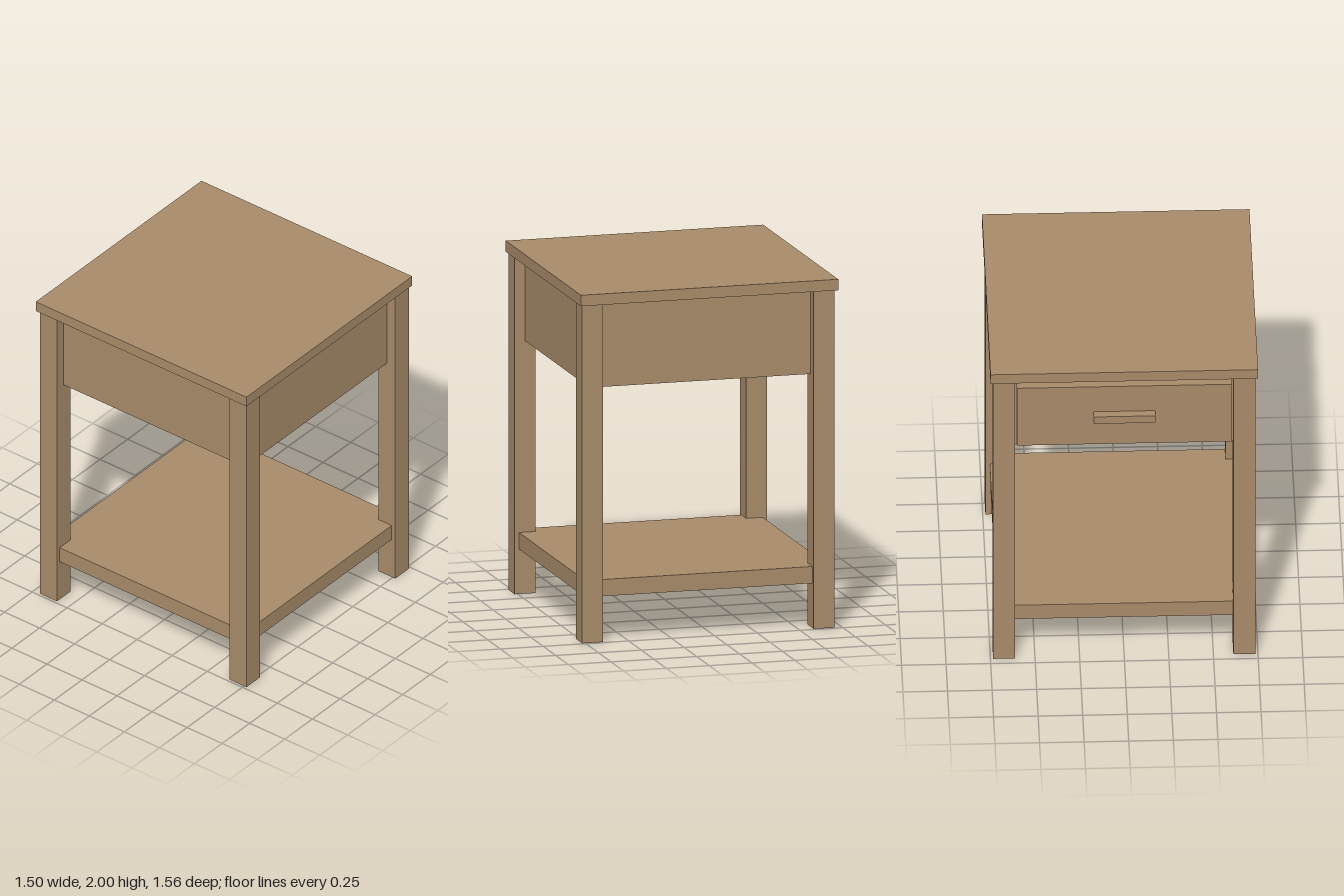
import * as THREE from 'three';

export function createModel() {
  const model = new THREE.Group();
  model.name = 'sideTable';
  const wood = new THREE.MeshStandardMaterial({ color: 0xa88b6a });
  wood.name = 'warm wood';

  // Box given by its extents on each axis
  function block(name, [x0, x1], [y0, y1], [z0, z1]) {
    const mesh = new THREE.Mesh(new THREE.BoxGeometry(x1 - x0, y1 - y0, z1 - z0), wood);
    mesh.name = name;
    mesh.position.set((x0 + x1) / 2, (y0 + y1) / 2, (z0 + z1) / 2);
    model.add(mesh);
  }

  // Table top
  block('tableTop', [-0.75, 0.75], [1.937, 2], [-0.723, 0.78]);

  // Four square legs
  for (const [side, x] of [['Right', [-0.735, -0.612]], ['Left', [0.612, 0.735]]]) {
    block('front' + side + 'Leg', x, [0, 1.937], [0.647, 0.768]);
    block('back' + side + 'Leg', x, [0, 1.937], [-0.706, -0.584]);
  }

  // Drawer case, set back to the middle of the legs
  block('drawerCase', [-0.675, 0.675], [1.45, 1.937], [-0.645, 0.708]);

  // Lower shelf, its corners housed in the legs
  block('lowerShelf', [-0.71, 0.71], [0.257, 0.353], [-0.681, 0.743]);

  // Drawer front and bar handle on the back side
  block('drawerFront', [-0.603, 0.603], [1.51, 1.91], [-0.734, -0.645]);
  block('drawerHandle', [-0.173, 0.173], [1.688, 1.736], [-0.783, -0.734]);

  return model;
}
